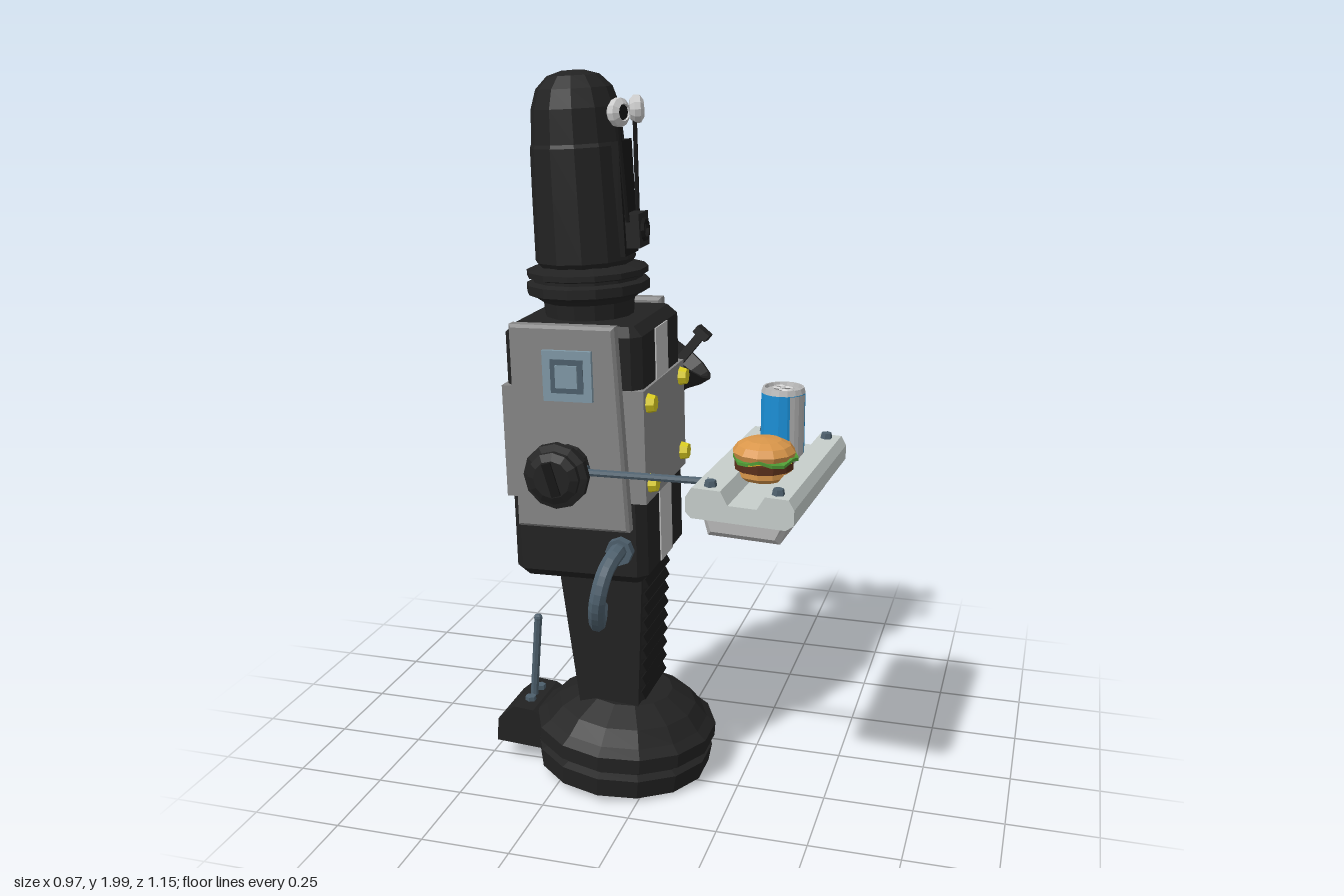
import * as THREE from 'three';

const mat = (color) => new THREE.MeshStandardMaterial({ color, flatShading: true, side: THREE.DoubleSide });
const M = {
  black: mat(0x222222), dark: mat(0x161616), grey: mat(0x858585), pale: mat(0xb8b8b8), tray: mat(0xc6cecb),
  steel: mat(0x4d5f6c), vent: mat(0x7f98a6), yellow: mat(0xd9cb20), blue: mat(0x1a8fd6), silver: mat(0xb5b5b5),
  bun: mat(0xd9964a), meat: mat(0x5a2f1a), lettuce: mat(0x4f9a35), cheese: mat(0xf0bd30), white: mat(0xcccccc),
};

function add(parent, name, geo, material, pos = [0, 0, 0], rot = [0, 0, 0]) {
  const m = new THREE.Mesh(geo, material);
  m.name = name;
  m.position.set(...pos);
  m.rotation.set(...rot);
  parent.add(m);
  return m;
}
function group(parent, name, pos = [0, 0, 0], rot = [0, 0, 0]) {
  const g = new THREE.Group();
  g.name = name;
  g.position.set(...pos);
  g.rotation.set(...rot);
  parent.add(g);
  return g;
}
const box = (x, y, z) => new THREE.BoxGeometry(x, y, z);
const cyl = (r1, r2, h, n = 12) => new THREE.CylinderGeometry(r1, r2, h, n);
const lathe = (pts, n = 12) => new THREE.LatheGeometry(pts.map((p) => new THREE.Vector2(...p)), n);
const shapeOf = (pts) => new THREE.Shape(pts.map((p) => new THREE.Vector2(...p)));
// Profile in x,y extruded evenly about z = 0
function prism(pts, depth, bevel = 0) {
  const g = new THREE.ExtrudeGeometry(shapeOf(pts), {
    depth: depth - 2 * bevel, bevelEnabled: bevel > 0, bevelSize: bevel, bevelThickness: bevel, bevelOffset: -bevel, bevelSegments: 1,
  });
  return g.translate(0, 0, -depth / 2 + bevel);
}
// Upright block with cut corners
function cutBlock(w, h, d, c, bevel) {
  const x = w / 2, z = d / 2;
  const pts = [[-x + c, -z], [x - c, -z], [x, -z + c], [x, z - c], [x - c, z], [-x + c, z], [-x, z - c], [-x, -z + c]];
  return prism(pts, h, bevel).rotateX(-Math.PI / 2);
}
// Rod between two points
function rod(parent, name, a, b, r, material, n = 8) {
  const A = new THREE.Vector3(...a), B = new THREE.Vector3(...b);
  const m = add(parent, name, cyl(r, r, A.distanceTo(B), n), material);
  m.position.copy(A).lerp(B, 0.5);
  m.quaternion.setFromUnitVectors(new THREE.Vector3(0, 1, 0), B.sub(A).normalize());
  return m;
}
const H = Math.PI / 2;

function buildBase(root) {
  const base = group(root, 'base', [-0.11, 0.027, 0.19], [0, 0, -0.065]);
  add(base, 'footDisc', lathe([[0, 0.02], [0.2, 0.02], [0.22, 0], [0.25, 0.005], [0.257, 0.06], [0.235, 0.07], [0.235, 0.085],
    [0.262, 0.09], [0.262, 0.13], [0.235, 0.15], [0.2, 0.19], [0.13, 0.23], [0, 0.23]], 14), M.black);
  // Rear pedal with lever
  const pedal = [[-0.475, 0.07], [-0.47, 0.14], [-0.42, 0.185], [-0.36, 0.18], [-0.31, 0.15], [-0.31, 0.06]];
  add(root, 'pedal', prism(pedal, 0.2), M.black, [0, 0, 0.18]);
  for (const z of [0.14, 0.22]) add(root, 'pedalBolt', cyl(0.016, 0.016, 0.02, 6), M.steel, [-0.39, 0.185, z]);
  rod(root, 'lever', [-0.395, 0.17, 0.18], [-0.375, 0.43, 0.18], 0.012, M.steel);
  add(root, 'leverTip', new THREE.SphereGeometry(0.013, 8, 6), M.steel, [-0.375, 0.43, 0.18]);
}

function buildLeg(root) {
  const profile = [[-0.2, 0.22], [-0.03, 0.22], [-0.015, 0.67], [-0.26, 0.67]];
  add(root, 'leg', prism(profile, 0.24), M.black, [0, 0, 0.185]);
  for (let i = 0; i < 9; i++) {
    add(root, 'legRib', box(0.02, 0.024, 0.21), M.dark, [-0.026 + i * 0.0015, 0.275 + i * 0.043, 0.185], [0, 0, 0.5]);
  }
}

function buildBody(root) {
  const body = group(root, 'body', [-0.178, 1.0, 0.185], [0, 0, 0.022]);
  add(body, 'torso', cutBlock(0.38, 0.71, 0.385, 0.025, 0.025), M.black);
  for (const s of [-1, 1]) {
    add(body, 'stripe', box(0.01, 0.66, 0.11), M.pale, [s * 0.189, 0, 0]);
  }
  add(body, 'belt', box(0.396, 0.31, 0.39), M.grey, [0, 0.035, 0]);
  for (const y of [-0.07, 0.15]) for (const z of [-0.155, 0.155]) {
    add(body, 'beltBolt', cyl(0.022, 0.028, 0.025, 8), M.yellow, [0.207, y, z], [0, 0, -H]);
  }
  // Round badge on the back
  add(body, 'backDial', lathe([[0, 0.018], [0.075, 0.018], [0.082, 0.03], [0.105, 0.03], [0.118, 0.018], [0.118, 0], [0, 0]], 18),
    M.yellow, [-0.198, 0.045, -0.02], [0, 0, H]);
  add(body, 'dialRing', new THREE.TorusGeometry(0.055, 0.006, 4, 16), M.yellow, [-0.217, 0.045, -0.02], [0, H, 0]);
  // Side plates
  const plate = [[-0.155, -0.19], [0.16, -0.19], [0.135, 0.365], [-0.155, 0.365]];
  for (const s of [-1, 1]) {
    add(body, 'sidePlate', prism(plate, 0.044, 0.008), M.grey, [0, 0, s * 0.214]);
  }
  // Square vent on the left plate
  add(body, 'ventFrame', box(0.135, 0.135, 0.014), M.vent, [0.008, 0.235, 0.241]);
  add(body, 'ventRecess', box(0.09, 0.09, 0.012), M.steel, [0.008, 0.235, 0.244]);
  add(body, 'ventCore', box(0.06, 0.06, 0.02), M.vent, [0.008, 0.235, 0.246]);
  // Looping hoses under the body, mirrored
  for (const s of [-1, 1]) {
    const pts = [[-0.05, 0.75, 0.18], [-0.05, 0.755, 0.225], [-0.065, 0.72, 0.285], [-0.08, 0.64, 0.312], [-0.095, 0.565, 0.27],
      [-0.115, 0.54, 0.2], [-0.135, 0.55, 0.13]];
    const curve = new THREE.CatmullRomCurve3(pts.map(([x, y, z]) => new THREE.Vector3(x, y, 0.185 + s * z)));
    add(root, 'hose', new THREE.TubeGeometry(curve, 20, 0.023, 8), M.steel);
    add(root, 'hoseSocket', cyl(0.038, 0.038, 0.035, 8), M.steel, [-0.05, 0.75, 0.185 + s * 0.2], [H, 0, 0]);
  }
}

function buildHead(root) {
  const neck = group(root, 'neck', [-0.195, 1.34, 0.185], [0, 0, 0.04]);
  add(neck, 'neckRings', lathe([[0.12, 0], [0.125, 0.055], [0.145, 0.07], [0.168, 0.08], [0.168, 0.105], [0.15, 0.112],
    [0.15, 0.12], [0.166, 0.125], [0.166, 0.14], [0.12, 0.155], [0, 0.155]], 14), M.black);
  const head = group(root, 'head', [-0.203, 1.475, 0.185], [0, 0, 0.055]);
  add(head, 'skull', lathe([[0, 0], [0.115, 0], [0.136, 0.03], [0.132, 0.2], [0.128, 0.33], [0.124, 0.34], [0.118, 0.43],
    [0.102, 0.48], [0.07, 0.512], [0.03, 0.524], [0, 0.525]], 12), M.black, [0, 0, 0], [0, Math.PI / 12, 0]);
  add(head, 'facePanel', box(0.02, 0.3, 0.115), M.dark, [0.122, 0.19, 0]);
  // Mouthpiece
  add(head, 'mouthBox', box(0.07, 0.09, 0.085), M.black, [0.135, 0.105, 0]);
  add(head, 'mouthRing', new THREE.TorusGeometry(0.025, 0.008, 6, 10), M.dark, [0.171, 0.105, 0], [0, H, 0]);
  // Eyes on thin stalks
  for (const s of [-1, 1]) {
    rod(head, 'eyeStalk', [0.14, 0.13, s * 0.045], [0.14, 0.41, s * 0.072], 0.006, M.dark, 6);
    const eye = group(head, 'eye', [0.142, 0.415, s * 0.077], [0, -s * 0.35, 0]);
    add(eye, 'eyeRim', lathe([[0, -0.016], [0.026, -0.016], [0.037, -0.004], [0.037, 0.012], [0.022, 0.022], [0.02, 0.01], [0, 0.01]], 12),
      M.white, [0, 0, 0], [0, 0, -H]);
    add(eye, 'pupil', cyl(0.02, 0.02, 0.012, 10), M.dark, [0.012, 0, 0], [0, 0, -H]);
  }
}

function buildArms(root) {
  // Left arm: drum joint and a thin rod to the tray
  const left = group(root, 'leftArm', [-0.18, 0.99, 0.41], [H, 0, 0]);
  add(left, 'shoulderDrum', lathe([[0, 0], [0.065, 0], [0.055, 0.02], [0.055, 0.085], [0.088, 0.09], [0.088, 0.11],
    [0.07, 0.115], [0.07, 0.13], [0.05, 0.14], [0, 0.14]], 12), M.black);
  add(left, 'drumSlot', box(0.025, 0.01, 0.09), M.dark, [0, 0.14, 0], [0, 0.3, 0]);
  add(root, 'rodCollar', cyl(0.02, 0.02, 0.03, 8), M.steel, [-0.125, 0.99, 0.465], [0, 0, H]);
  rod(root, 'trayRod', [-0.14, 0.99, 0.465], [0.22, 1.0, 0.48], 0.01, M.steel);

  // Right arm: collar, forearm, elbow ball and cup
  add(root, 'rightShoulder', lathe([[0, 0], [0.085, 0], [0.085, 0.02], [0.065, 0.03], [0.06, 0.055], [0.035, 0.06], [0, 0.06]], 12),
    M.black, [-0.155, 1.0, -0.05], [-H, 0, 0]);
  rod(root, 'forearm', [-0.155, 1.0, -0.05], [-0.195, 1.0, -0.42], 0.031, M.black, 10);
  add(root, 'elbow', new THREE.SphereGeometry(0.05, 10, 8), M.black, [-0.195, 0.995, -0.435]);
  const cup = group(root, 'cup', [-0.2, 0.98, -0.44]);
  cup.quaternion.setFromUnitVectors(new THREE.Vector3(0, 1, 0), new THREE.Vector3(0.62, 0.78, -0.1).normalize());
  add(cup, 'cupBowl', lathe([[0, 0], [0.05, 0], [0.058, 0.03], [0.07, 0.05], [0.075, 0.075], [0.1, 0.115], [0.112, 0.15],
    [0.1, 0.15], [0.08, 0.1], [0, 0.075]], 12), M.black);
  add(cup, 'cupStem', box(0.028, 0.17, 0.028), M.black, [0, 0.155, 0]);
  add(cup, 'cupStemHead', box(0.05, 0.025, 0.055), M.black, [0, 0.245, 0]);
}

function buildTray(root) {
  const tray = group(root, 'tray', [0.318, 0, 0.28], [0.012, -0.06, -0.02]);
  const top = [[-0.14, 0.945], [-0.125, 0.93], [0.12, 0.93], [0.14, 0.945], [0.14, 0.985], [0.125, 1.01], [0.065, 1.01],
    [0.045, 0.975], [-0.03, 0.975], [-0.05, 1.01], [-0.125, 1.01], [-0.14, 0.985]];
  add(tray, 'trayTop', prism(top, 0.565), M.tray);
  add(tray, 'trayUnderside', prism([[-0.1, 0.865], [0.09, 0.865], [0.115, 0.935], [-0.12, 0.935]], 0.5, 0.015), M.pale, [0, 0, -0.02]);
  for (const x of [-0.085, 0.09]) for (const z of [-0.25, 0.25]) {
    add(tray, 'trayBolt', cyl(0.014, 0.018, 0.02, 6), M.steel, [x, 1.015, z]);
  }
  // Drink can: blue wall with one silver panel
  const can = group(root, 'can', [0.345, 0.97, 0.175]);
  add(can, 'canWall', cyl(0.06, 0.06, 0.185, 16), M.blue, [0, 0.105, 0]);
  add(can, 'canPanel', new THREE.CylinderGeometry(0.0612, 0.0612, 0.183, 4, 1, true, 0.5, 0.9), M.silver, [0, 0.105, 0]);
  add(can, 'canFoot', cyl(0.06, 0.05, 0.015, 16), M.silver, [0, 0.007, 0]);
  add(can, 'canLid', lathe([[0.06, 0.197], [0.055, 0.212], [0.05, 0.212], [0.047, 0.203], [0, 0.203]], 16), M.silver);
  for (const [x, z, r] of [[-0.012, -0.008, 0.014], [0.01, 0.008, 0.018]]) {
    add(can, 'canTab', new THREE.TorusGeometry(r, 0.004, 4, 10), M.white, [x, 0.207, z], [H, 0, 0]);
  }
  // Burger: stacked layers
  const burger = group(root, 'burger', [0.335, 0.985, 0.36]);
  add(burger, 'lowerBun', lathe([[0, 0], [0.06, 0], [0.074, 0.012], [0.074, 0.028], [0, 0.028]], 12), M.bun);
  add(burger, 'patty', cyl(0.078, 0.078, 0.022, 12), M.meat, [0, 0.038, 0]);
  add(burger, 'cheese', box(0.115, 0.006, 0.115), M.cheese, [0, 0.051, 0], [0, 0.5, 0]);
  const leaf = cyl(0.086, 0.086, 0.008, 16);
  const p = leaf.attributes.position;
  for (let i = 0; i < p.count; i++) {
    const a = Math.atan2(p.getZ(i), p.getX(i));
    if (Math.hypot(p.getX(i), p.getZ(i)) > 0.01) p.setY(i, p.getY(i) + 0.008 * Math.sin(a * 5));
  }
  add(burger, 'lettuce', leaf, M.lettuce, [0.004, 0.054, -0.004]);
  add(burger, 'upperBun', lathe([[0, 0.058], [0.078, 0.058], [0.083, 0.072], [0.07, 0.09], [0.045, 0.102], [0, 0.107]], 12), M.bun);
}

export function createModel() {
  const root = new THREE.Group();
  root.name = 'servingRobot';
  buildBase(root);
  buildLeg(root);
  buildBody(root);
  buildHead(root);
  buildArms(root);
  buildTray(root);
  return root;
}
